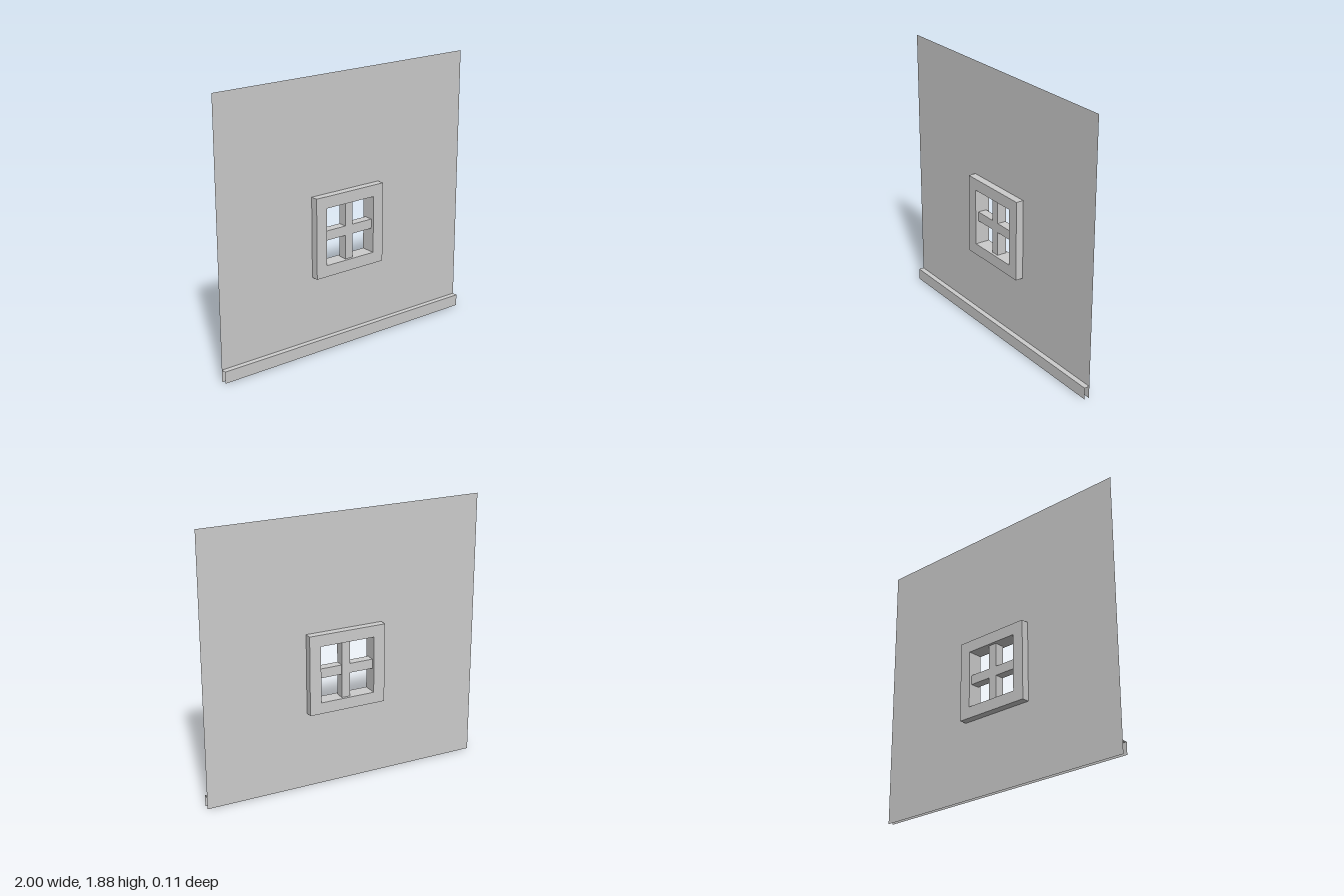
import * as THREE from 'three';

const material = new THREE.MeshStandardMaterial({ color: 0xcccccc, flatShading: true });
const thinMaterial = new THREE.MeshStandardMaterial({ color: 0xcccccc, flatShading: true, side: THREE.DoubleSide });

// Rectangle outline, usable as a shape or as a hole
function rectangle(PathType, x0, y0, x1, y1) {
  const path = new PathType();
  path.moveTo(x0, y0).lineTo(x1, y0).lineTo(x1, y1).lineTo(x0, y1).closePath();
  return path;
}

function addMesh(parent, name, geometry, mat = material) {
  const mesh = new THREE.Mesh(geometry, mat);
  mesh.name = name;
  parent.add(mesh);
  return mesh;
}

export function createModel() {
  const model = new THREE.Group();
  model.name = 'wallWithWindow';

  const opening = { x0: -0.197, y0: 0.615, x1: 0.194, y1: 1.011 };
  const { x0, y0, x1, y1 } = opening;

  // Paper-thin wall with the window opening cut out
  const wallShape = rectangle(THREE.Shape, -1, 0, 1, 1.883);
  wallShape.holes.push(rectangle(THREE.Path, x0, y0, x1, y1));
  addMesh(model, 'wall', new THREE.ShapeGeometry(wallShape), thinMaterial);

  // Baseboard: front and top faces only, open at the ends, back and bottom
  const baseboard = new THREE.Group();
  baseboard.name = 'baseboard';
  model.add(baseboard);
  const boardTop = 0.085, boardBottom = 0.004, boardDepth = 0.037;
  addMesh(baseboard, 'baseboardFront', new THREE.PlaneGeometry(2, boardTop - boardBottom), thinMaterial)
    .position.set(0, (boardTop + boardBottom) / 2, boardDepth);
  const top = addMesh(baseboard, 'baseboardTop', new THREE.PlaneGeometry(2, boardDepth), thinMaterial);
  top.rotation.x = -Math.PI / 2;
  top.position.set(0, boardTop, boardDepth / 2);

  // Window: deep frame standing out on both sides of the wall
  const window = new THREE.Group();
  window.name = 'window';
  model.add(window);
  const frameDepth = 0.106;
  const frameShape = rectangle(THREE.Shape, -0.278, 0.536, 0.275, 1.091);
  frameShape.holes.push(rectangle(THREE.Path, x0, y0, x1, y1));
  addMesh(window, 'windowFrame', new THREE.ExtrudeGeometry(frameShape, { depth: frameDepth, bevelEnabled: false }))
    .position.z = -frameDepth / 2;

  // Crossing glazing bars, set back from the frame faces
  const barDepth = 0.067;
  addMesh(window, 'verticalBar', new THREE.BoxGeometry(0.06, y1 - y0, barDepth))
    .position.set(0.003, (y0 + y1) / 2, 0);
  addMesh(window, 'horizontalBar', new THREE.BoxGeometry(x1 - x0, 0.066, barDepth - 0.004))
    .position.set((x0 + x1) / 2, 0.814, 0);

  return model;
}
